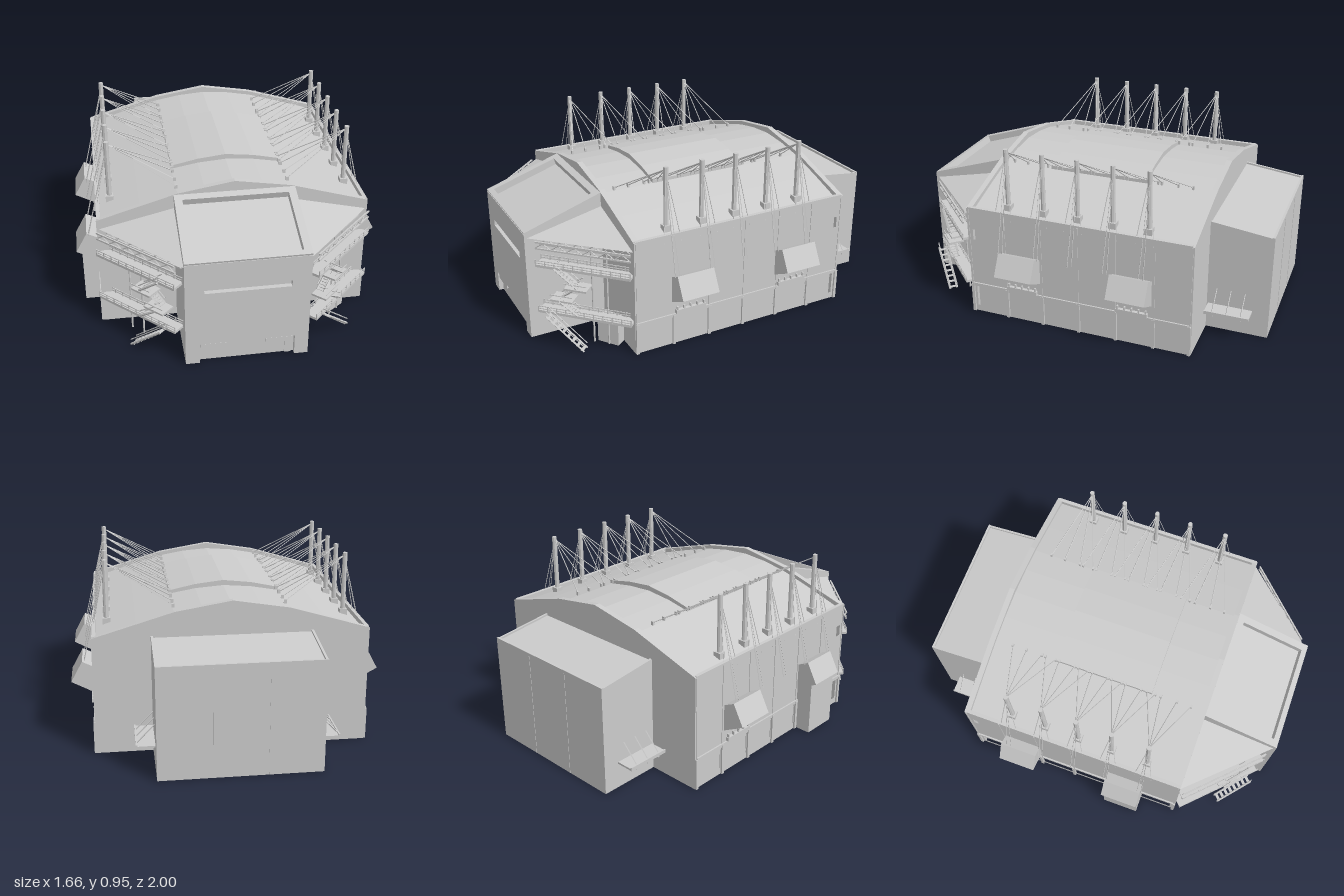
import * as THREE from 'three';

const grey = new THREE.MeshStandardMaterial({ color: 0xcccccc, flatShading: true });
const thin = new THREE.MeshStandardMaterial({ color: 0xcccccc, flatShading: true, side: THREE.DoubleSide });

function add(parent, name, geo, x = 0, y = 0, z = 0, mat = grey) {
  const m = new THREE.Mesh(geo, mat);
  m.name = name;
  m.position.set(x, y, z);
  parent.add(m);
  return m;
}
const box = (p, n, w, h, d, x, y, z) => add(p, n, new THREE.BoxGeometry(w, h, d), x, y, z);

// straight bar between two points
function rod(parent, name, a, b, r, sides = 4) {
  const A = new THREE.Vector3(...a), B = new THREE.Vector3(...b);
  const m = add(parent, name, new THREE.CylinderGeometry(r, r, A.distanceTo(B), sides));
  m.position.copy(A).lerp(B, 0.5);
  m.quaternion.setFromUnitVectors(new THREE.Vector3(0, 1, 0), B.sub(A).normalize());
}
const rect = (x0, y0, x1, y1) => [[x0, y0], [x1, y0], [x1, y1], [x0, y1]];
function extrude(points, depth, holes = []) {
  const v = l => l.map(p => new THREE.Vector2(...p));
  const s = new THREE.Shape(v(points));
  s.holes = holes.map(h => new THREE.Path(v(h)));
  return new THREE.ExtrudeGeometry(s, { depth, bevelEnabled: false });
}
// profile given as (z, y), extruded along +x
const extrudeX = (pts, depth, holes = []) => {
  const flip = l => l.map(([z, y]) => [-z, y]);
  return extrude(flip(pts), depth, holes.map(flip)).rotateY(Math.PI / 2);
};
// symmetric outline from right-hand roof points, closed at y = base
const roofOutline = (right, base) => {
  const w = right[0][0];
  return [[-w, base], [w, base], ...right, ...right.slice(0, -1).reverse().map(([x, y]) => [-x, y])];
};

function buildHall(g) {
  const core = roofOutline([[0.68, 0.6], [0.48, 0.665], [0.29, 0.72], [0.15, 0.745], [0, 0.757]], 0);
  add(g, 'hallAndRoof', extrude(core, 1.2), 0, 0, -0.64);
  const gable = roofOutline([[0.7, 0.62], [0.29, 0.742], [0, 0.79]], 0);
  for (const z of [-0.66, 0.545]) add(g, 'gableWall', extrude(gable, 0.03), 0, 0, z);
  const raised = roofOutline([[0.29, 0.738], [0.15, 0.768], [0, 0.785]], 0.7);
  add(g, 'raisedRoof', extrude(raised, 0.545), 0, 0, -0.275);

  // side walls with window strips and recessed base panels
  const joints = [0.565, 0.36, 0.155, -0.05, -0.255, -0.46, -0.65];
  const holes = [];
  for (let i = 0; i < 6; i++) {
    const a = joints[i + 1] + 0.02, b = joints[i] - 0.02;
    holes.push(rect(a, 0.44, b, 0.5), rect(a - 0.008, 0.035, b + 0.008, 0.155));
  }
  for (const s of [1, -1]) {
    add(g, 'sideWall', extrudeX(rect(-0.65, 0, 0.57, 0.625), 0.02, holes), s > 0 ? 0.68 : -0.7);
    box(g, 'wallBand', 0.012, 0.018, 1.22, s * 0.702, 0.168, -0.04);
    for (const z of joints) {
      box(g, 'pilaster', 0.016, 0.17, 0.016, s * 0.702, 0.085, z);
      box(g, 'wallJoint', 0.006, 0.45, 0.006, s * 0.7, 0.39, z);
    }
  }
}

function buildTower(g) {
  add(g, 'towerBody', extrudeX([[0.55, 0], [0.965, 0], [0.965, 0.57], [0.55, 0.705]], 0.62), -0.31);
  // front wall with slot window and entrance recess
  const front = [[-0.31, 0], [-0.24, 0], [-0.24, 0.115], [0.24, 0.115], [0.24, 0], [0.31, 0], [0.31, 0.59], [-0.31, 0.59]];
  add(g, 'towerFront', extrude(front, 0.025, [rect(-0.215, 0.42, 0.215, 0.455)]), 0, 0, 0.965);
  for (const x of [-0.165, 0.165]) box(g, 'entranceCanopy', 0.14, 0.028, 0.02, x, 0.096, 0.975);
  box(g, 'entranceDoor', 0.035, 0.07, 0.008, 0.21, 0.035, 0.967);
  // sloping roof frame
  const a = 0.316;
  const frame = extrude(rect(-0.31, 0, 0.31, 0.44), 0.045, [rect(-0.27, 0.03, 0.27, 0.4)]);
  add(g, 'towerRoofFrame', frame.rotateX(a - Math.PI / 2), 0, 0.6 - 0.045 * Math.cos(a), 0.99 - 0.045 * Math.sin(a));
}

// corner gallery: local x runs outward from tower to hall corner
function buildGallery(g, s) {
  const q = new THREE.Group();
  q.name = s > 0 ? 'leftGallery' : 'rightGallery';
  q.position.set(s * 0.51, 0, 0.755);
  q.rotation.y = s * Math.PI / 4;
  g.add(q);
  const L = 0.25;
  // roof truss
  for (const z of [-0.025, 0.025]) {
    for (const y of [0.528, 0.562]) box(q, 'trussChord', 2 * L, 0.008, 0.008, 0, y, z);
    for (let i = 0; i < 12; i++) {
      const u = -L + i * L / 6, up = i % 2;
      rod(q, 'trussBrace', [u, up ? 0.56 : 0.53, z], [u + L / 6, up ? 0.53 : 0.56, z], 0.003);
    }
  }
  // walkways with railings
  for (const y of [0.435, 0.175]) {
    box(q, 'walkway', 2 * L, 0.014, 0.07, 0, y, 0);
    for (const z of [-0.033, 0.033]) {
      for (const h of [0.016, 0.03]) box(q, 'rail', 2 * L, 0.004, 0.004, 0, y + h, z);
      for (let i = 0; i <= 10; i++) box(q, 'railPost', 0.005, 0.036, 0.005, -L + i * L / 5, y + 0.015, z);
    }
  }
  // zigzag stairs: [u0, y0, u1, y1, z]
  const flights = [[-0.15, 0.435, -0.03, 0.335, 0.02], [-0.03, 0.335, -0.13, 0.255, -0.02],
    [-0.13, 0.255, -0.03, 0.18, 0.02], [-0.19, 0.175, 0.01, 0, 0.055]];
  for (const [u0, y0, u1, y1, z] of flights) {
    for (const dz of [-0.02, 0.02]) {
      rod(q, 'stairStringer', [s * u0, y0, z + dz], [s * u1, y1 + 0.006, z + dz], 0.006);
      rod(q, 'stairRail', [s * u0, y0 + 0.03, z + dz], [s * u1, y1 + 0.035, z + dz], 0.003);
    }
    for (let i = 0; i < 8; i++) {
      const t = (i + 0.5) / 8;
      box(q, 'stairTread', 0.016, 0.004, 0.04, s * (u0 + (u1 - u0) * t), y0 + (y1 - y0) * t, z);
    }
  }
  for (const [u, y] of [[-0.04, 0.33], [-0.12, 0.255]]) {
    box(q, 'landing', 0.12, 0.01, 0.085, s * u, y, 0);
    box(q, 'landingRail', 0.12, 0.004, 0.004, s * u, y + 0.03, 0.04);
  }
  for (const u of [0.02, 0.1]) rod(q, 'galleryColumn', [s * u, 0, -0.04], [s * u, 0.56, -0.04], 0.005, 6);

  // triangular roof over the corner
  const roof = new THREE.BufferGeometry();
  roof.setAttribute('position', new THREE.Float32BufferAttribute(
    [s * 0.31, 0.66, 0.575, s * 0.31, 0.57, 0.975, s * 0.69, 0.57, 0.575], 3));
  roof.setIndex(s > 0 ? [0, 1, 2] : [0, 2, 1]);
  roof.computeVertexNormals();
  add(g, 'cornerRoof', roof, 0, 0, 0, thin);
}

// tilted bay windows on the side walls
function buildBay(g, s, zc) {
  const body = [[0.69, 0.385], [0.69, 0.27], [0.808, 0.325], [0.82, 0.31], [0.76, 0.42]];
  const rib = [[0.69, 0.28], [0.69, 0.24], [0.82, 0.31], [0.8, 0.335]];
  const m = l => l.map(([x, y]) => [s * x, y]);
  add(g, 'bay', extrude(m(body), 0.205), 0, 0, zc - 0.1025);
  for (const dz of [-0.1025, -0.05, 0.0375, 0.0905]) add(g, 'bayRib', extrude(m(rib), 0.012), 0, 0, zc + dz);
  box(g, 'bayLedge', 0.02, 0.02, 0.17, s * 0.708, 0.19, zc);
  for (let i = -2; i <= 2; i++) box(g, 'ledgePost', 0.012, 0.02, 0.008, s * 0.71, 0.208, zc + i * 0.038);
}

// masts with stay cables
function buildMast(g, s, z) {
  const top = [s * 0.622, 0.935, z];
  add(g, 'mast', new THREE.CylinderGeometry(0.013, 0.013, 0.34, 8), s * 0.625, 0.78, z);
  box(g, 'mastFoot', 0.04, 0.04, 0.04, s * 0.625, 0.625, z);
  for (const dz of [-0.125, -0.045, 0.045, 0.125]) {
    rod(g, 'roofCable', top, [s * 0.285, 0.735, z + dz], 0.0025);
    box(g, 'cableAnchor', 0.015, 0.02, 0.01, s * 0.288, 0.735, z + dz);
  }
  for (const dz of [-0.012, 0.012]) {
    rod(g, 'wallCable', top, [s * 0.75, 0.41, z + dz], 0.002);
    rod(g, 'wallCable', top, [s * 0.7, 0.58, z + dz * 4], 0.002);
  }
}

function buildAnnex(g) {
  add(g, 'annex', extrudeX([[-0.99, 0], [-0.64, 0], [-0.64, 0.615], [-0.99, 0.572]], 0.82), -0.41);
  box(g, 'annexParapet', 0.82, 0.02, 0.012, 0, 0.577, -0.984);
  for (const s of [1, -1]) {
    box(g, 'annexSeam', 0.005, 0.57, 0.004, s * 0.137, 0.285, -0.99);
    box(g, 'annexEdge', 0.012, 0.012, 0.34, s * 0.404, 0.598, -0.81).rotation.x = -0.122;
    // hung side canopies
    box(g, 'canopy', 0.1, 0.01, 0.235, s * 0.455, 0.14, -0.785);
    box(g, 'canopyEdge', 0.008, 0.018, 0.235, s * 0.502, 0.143, -0.785);
    for (const z of [-0.71, -0.785, -0.86]) {
      rod(g, 'canopyHanger', [s * 0.41, 0.24, z], [s * 0.5, 0.145, z], 0.003);
      box(g, 'canopyBeam', 0.09, 0.014, 0.008, s * 0.455, 0.13, z);
    }
  }
}

export function createModel() {
  const model = new THREE.Group();
  const g = new THREE.Group();
  g.name = 'arena';
  g.rotation.y = 0.024;
  model.add(g);
  buildHall(g);
  buildTower(g);
  buildAnnex(g);
  for (const s of [1, -1]) {
    buildGallery(g, s);
    for (const z of [-0.345, 0.268]) buildBay(g, s, z);
    for (const z of [-0.405, -0.215, -0.025, 0.165, 0.365]) buildMast(g, s, z);
  }
  // full-height block below one bay, and the kiosk in the front corner
  box(g, 'sideBlock', 0.1, 0.3, 0.2, -0.74, 0.15, 0.268);
  box(g, 'kiosk', 0.12, 0.135, 0.08, 0.52, 0.0675, 0.625).rotation.y = Math.PI / 5;
  return model;
}
